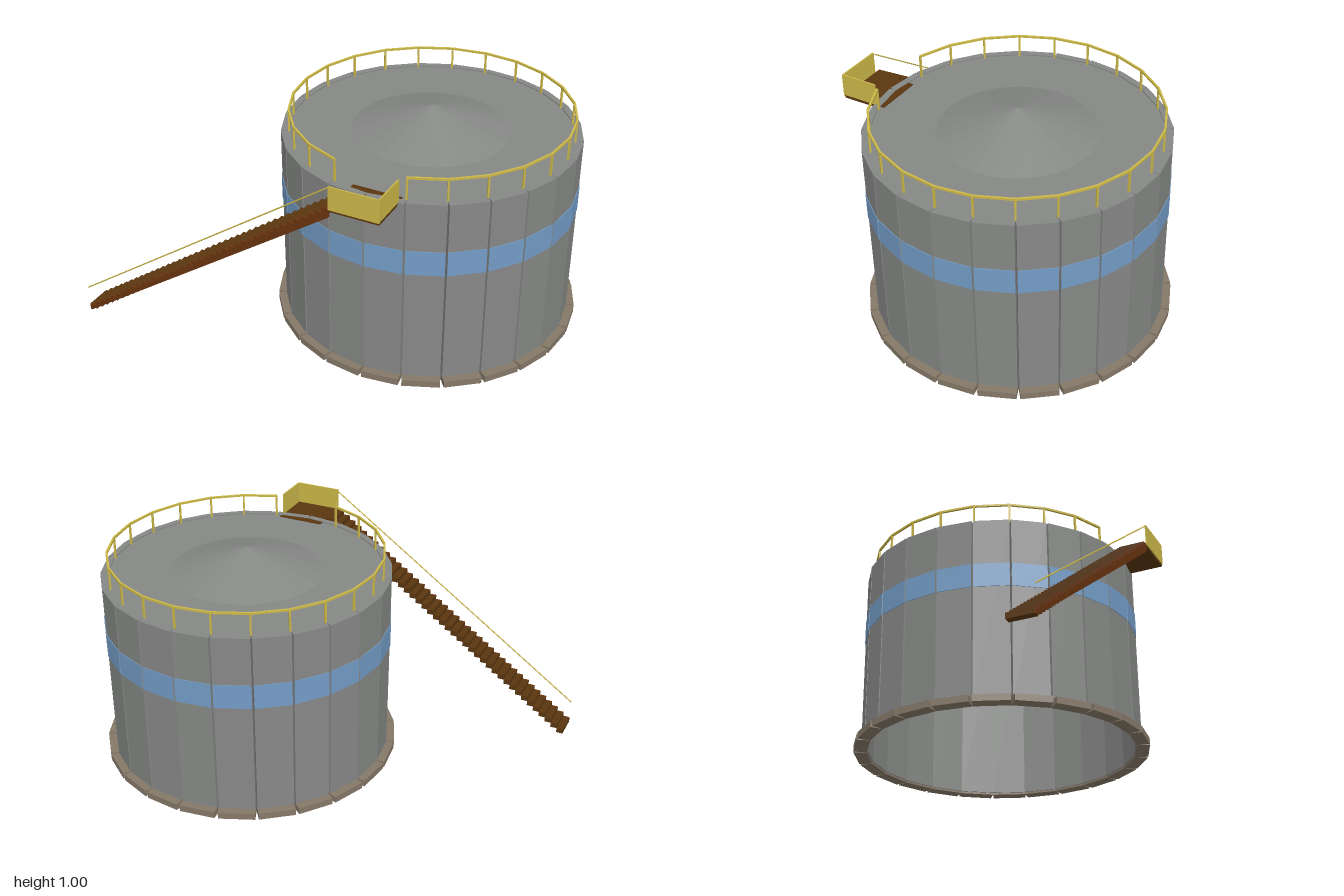
import * as THREE from 'three';

const SIDES = 24;
const STEP = (Math.PI * 2) / SIDES;

function paint(name, color) {
  const m = new THREE.MeshStandardMaterial({ color });
  m.name = name;
  return m;
}

export function createModel() {
  const steel = paint('grey steel', 0x868886);
  const blue = paint('blue band', 0x739cc6);
  const stone = paint('foundation stone', 0x857868);
  const yellow = paint('safety yellow', 0xccb848);
  const wood = paint('brown tread', 0x5a3610);
  const rust = paint('rust brown', 0x69330f);
  steel.flatShading = true;

  const model = new THREE.Group();
  model.name = 'storageTank';
  const tank = new THREE.Group();
  tank.name = 'tank';
  tank.position.set(0.325, 0, -0.055);
  model.add(tank);

  function add(parent, name, geometry, material, x = 0, y = 0, z = 0) {
    const mesh = new THREE.Mesh(geometry, material);
    mesh.name = name;
    mesh.position.set(x, y, z);
    parent.add(mesh);
    return mesh;
  }

  // Box given by its two opposite corners
  function block(parent, name, material, [x0, y0, z0], [x1, y1, z1]) {
    return add(parent, name, new THREE.BoxGeometry(x1 - x0, y1 - y0, z1 - z0), material,
      (x0 + x1) / 2, (y0 + y1) / 2, (z0 + z1) / 2);
  }

  // Ring of flat panels that touch along their inner edges
  function panelRing(name, material, inner, outer, y0, y1) {
    const ring = new THREE.Group();
    ring.name = name;
    const geometry = new THREE.BoxGeometry(2 * inner * Math.tan(STEP / 2), y1 - y0, outer - inner);
    const r = (inner + outer) / 2;
    for (let i = 0; i < SIDES; i++) {
      const a = (i + 0.5) * STEP;
      add(ring, name + 'Panel', geometry, material, Math.sin(a) * r, (y0 + y1) / 2, Math.cos(a) * r)
        .rotation.y = a;
    }
    tank.add(ring);
  }

  // Tank shell
  panelRing('foundation', stone, 0.61, 0.67, 0.03, 0.06);
  panelRing('wall', steel, 0.605, 0.635, 0.04, 0.895);
  panelRing('band', blue, 0.602, 0.638, 0.57, 0.68);
  add(tank, 'roof', new THREE.CylinderGeometry(0.612, 0.612, 0.008, SIDES), steel, 0, 0.886, 0);
  add(tank, 'roofCone', new THREE.ConeGeometry(0.34, 0.11, SIDES, 1, true), steel, 0, 0.945, 0);

  // Roof railing, open at the platform
  const railing = new THREE.Group();
  railing.name = 'roofRailing';
  tank.add(railing);
  const R = 0.605;
  const postGeometry = new THREE.BoxGeometry(0.008, 0.1, 0.008);
  const railGeometry = new THREE.BoxGeometry(2 * R * Math.sin(STEP / 2) + 0.002, 0.009, 0.009);
  const railR = R * Math.cos(STEP / 2);
  for (let i = 1; i < SIDES; i++) {
    const a = i * STEP;
    add(railing, 'railingPost', postGeometry, yellow, Math.sin(a) * R, 0.94, Math.cos(a) * R).rotation.y = a;
    if (i === SIDES - 1) continue;
    const b = a + STEP / 2;
    add(railing, 'railingBar', railGeometry, yellow, Math.sin(b) * railR, 0.99, Math.cos(b) * railR).rotation.y = b;
  }

  // Landing platform with two guard panels
  const platform = new THREE.Group();
  platform.name = 'platform';
  model.add(platform);
  block(platform, 'platformFloor', wood, [0.245, 0.879, 0.52], [0.46, 0.893, 0.724]);
  block(platform, 'frontGuard', yellow, [0.245, 0.889, 0.722], [0.462, 0.992, 0.728]);
  block(platform, 'sideGuard', yellow, [0.456, 0.893, 0.557], [0.462, 0.992, 0.722]);

  // Straight stair
  const stairs = new THREE.Group();
  stairs.name = 'stairs';
  model.add(stairs);
  const count = 40, run = 1.245 / count, rise = 0.86 / (count - 1);
  for (let i = 0; i < count; i++) {
    const x = -1 + i * run, top = 0.031 + i * rise;
    block(stairs, 'tread', wood, [x, top - rise - 0.002, 0.605], [x + run, top, 0.716]);
  }

  // Sawtooth stringer on the outer side
  const profile = new THREE.Shape();
  profile.moveTo(-1, 0.005);
  for (let i = 0; i < count; i++) {
    profile.lineTo(-1 + i * run, 0.031 + i * rise);
    profile.lineTo(-1 + (i + 1) * run, 0.031 + i * rise);
  }
  profile.lineTo(0.245, 0.853);
  profile.lineTo(-0.993, 0);
  add(stairs, 'stringer', new THREE.ExtrudeGeometry(profile, { depth: 0.008, bevelEnabled: false }),
    rust, 0, 0, 0.716);

  // Sloping handrail
  const start = new THREE.Vector3(-1, 0.12, 0.72), end = new THREE.Vector3(0.245, 0.985, 0.72);
  add(stairs, 'handrail', new THREE.TubeGeometry(new THREE.LineCurve3(start, end), 1, 0.003, 6), yellow);

  return model;
}
